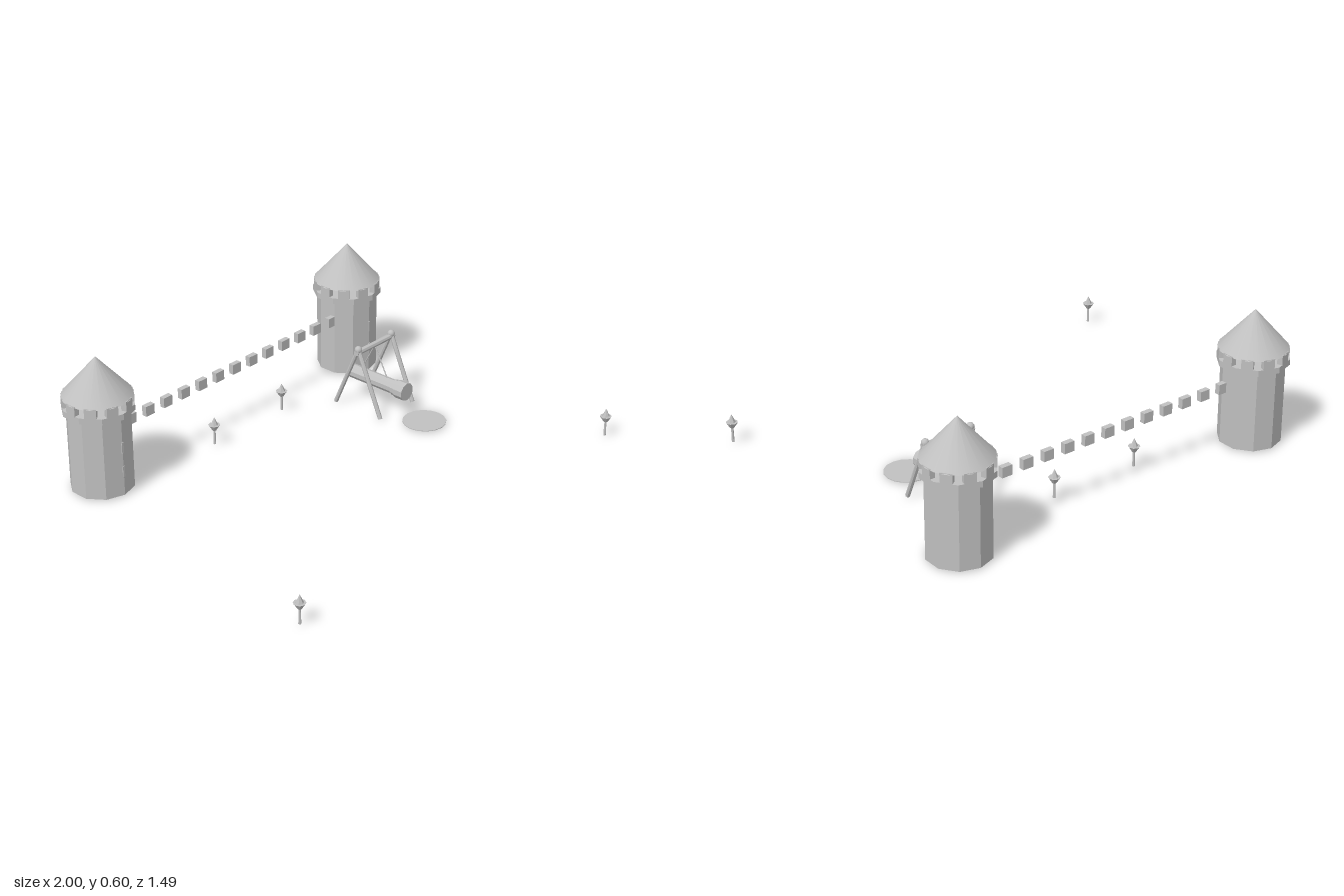
import * as THREE from 'three';

const stone = new THREE.MeshStandardMaterial({ color: 0xc0c0c0 });
stone.name = 'paleGrey';
// same colour with faceted shading for low-sided parts
const facet = stone;

function add(parent, name, geometry, x = 0, y = 0, z = 0) {
  const mesh = new THREE.Mesh(geometry, stone);
  mesh.name = name;
  mesh.position.set(x, y, z);
  parent.add(mesh);
  return mesh;
}

// split the vertices so that each side is shaded flat
function flat(geometry) {
  const g = geometry.toNonIndexed();
  g.computeVertexNormals();
  return g;
}

const prism = (rTop, rBottom, h, sides) => flat(new THREE.CylinderGeometry(rTop, rBottom, h, sides));

// round bar between two points
function bar(parent, name, a, b, r, sides = 8) {
  const from = new THREE.Vector3(...a), to = new THREE.Vector3(...b);
  const dir = to.clone().sub(from);
  const mesh = add(parent, name, prism(r, r, dir.length(), sides));
  mesh.position.copy(from).add(to).multiplyScalar(0.5);
  mesh.quaternion.setFromUnitVectors(new THREE.Vector3(0, 1, 0), dir.normalize());
  return mesh;
}

function tower(x, z) {
  const g = new THREE.Group();
  g.name = 'tower';
  g.position.set(x, 0, z);
  add(g, 'towerBody', prism(0.136, 0.136, 0.356, 10), 0, 0.188, 0);
  add(g, 'parapetRing', prism(0.154, 0.154, 0.026, 10), 0, 0.379, 0);
  // battlements under the roof
  for (let i = 0; i < 10; i++) {
    const a = (i / 10) * Math.PI * 2;
    const m = add(g, 'merlon', new THREE.BoxGeometry(0.024, 0.045, 0.05),
      Math.cos(a) * 0.135, 0.412, Math.sin(a) * 0.135);
    m.rotation.y = -a;
  }
  add(g, 'roof', new THREE.ConeGeometry(0.15, 0.17, 20), 0, 0.515, 0);
  // arrow slits on the front edge
  for (const y of [0.12, 0.23]) {
    add(g, 'arrowSlit', new THREE.BoxGeometry(0.01, 0.05, 0.008), 0, y, 0.134);
  }
  return g;
}

function torch(x, z) {
  const g = new THREE.Group();
  g.name = 'torch';
  g.position.set(x, 0, z);
  add(g, 'torchPole', prism(0.005, 0.006, 0.075, 6), 0, 0.0475, 0);
  add(g, 'torchBowl', prism(0.026, 0.009, 0.026, 8), 0, 0.09, 0);
  add(g, 'torchFlame', prism(0, 0.017, 0.037, 6), 0, 0.121, 0);
  return g;
}

function ram() {
  const g = new THREE.Group();
  g.name = 'batteringRam';
  g.position.set(0.548, 0, -0.235);
  // A-frames
  for (const s of [-1, 1]) {
    const x = s * 0.11;
    for (const t of [-1, 1]) bar(g, 'frameLeg', [x, 0.305, 0], [x, 0.007, t * 0.13], 0.01);
    add(g, 'frameJoint', new THREE.SphereGeometry(0.017, 10, 8), x, 0.303, 0);
  }
  bar(g, 'crossBeam', [-0.125, 0.291, 0], [0.125, 0.291, 0], 0.013);
  // hanging ropes
  for (const t of [-1, 1]) bar(g, 'rope', [0, 0.285, 0], [0, 0.145, t * 0.075], 0.003, 6);
  // log with a heavy head
  bar(g, 'ramLog', [0, 0.118, -0.13], [0, 0.118, 0.14], 0.032, 10);
  bar(g, 'ramCollar', [0, 0.118, 0.118], [0, 0.118, 0.145], 0.036, 10);
  bar(g, 'ramHead', [0, 0.118, 0.139], [0, 0.118, 0.188], 0.041, 10);
  return g;
}

export function createModel() {
  const model = new THREE.Group();
  model.name = 'castleCourtyard';
  for (const s of [-1, 1]) {
    model.add(tower(s * 0.762, -0.59));
    model.add(torch(s * 0.21, -0.484));
    model.add(torch(s * 0.972, 0.716));
  }
  // row of wall blocks between the towers
  for (let i = -6; i <= 6; i++) {
    add(model, 'wallBlock', new THREE.BoxGeometry(0.048, 0.045, 0.024), i * 0.103, 0.272, -0.56);
  }
  model.add(ram());
  add(model, 'groundDisc', prism(0.097, 0.097, 0.003, 16), 0.548, 0.012, 0.055);
  return model;
}
